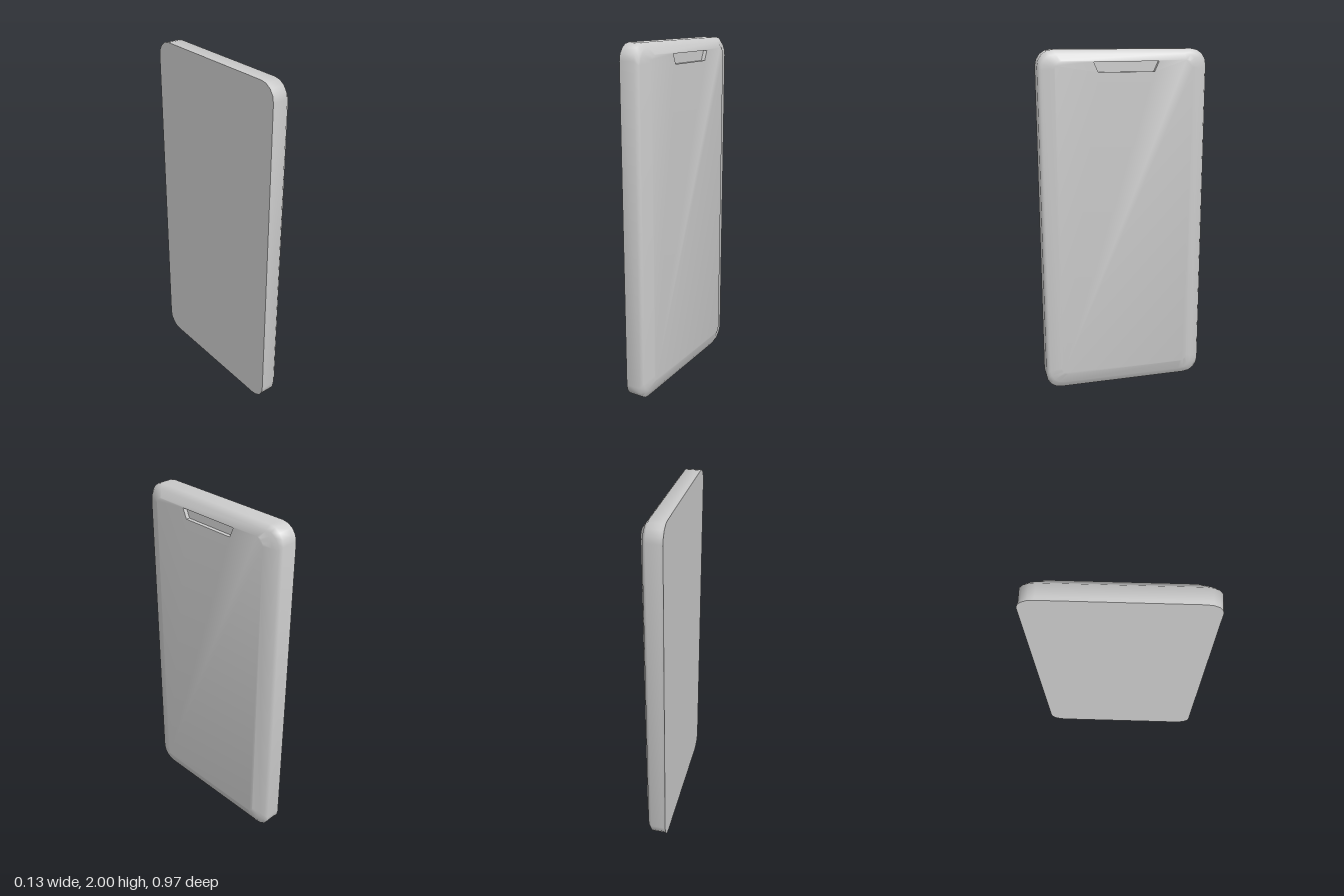
import * as THREE from 'three';
import { mergeGeometries, toCreasedNormals } from 'three/addons/utils/BufferGeometryUtils.js';

// Built in a local frame (u = width, v = height, w = thickness), then turned so the back faces +x.

// Rounded rectangle, counter-clockwise
function outline(u0, u1, v0, v1, r, steps = 4) {
  const pts = [];
  const centres = [[u1 - r, v0 + r], [u1 - r, v1 - r], [u0 + r, v1 - r], [u0 + r, v0 + r]];
  centres.forEach(([cu, cv], k) => {
    for (let i = 0; i <= steps; i++) {
      const a = (k - 1 + i / steps) * Math.PI / 2;
      pts.push(new THREE.Vector2(cu + r * Math.cos(a), cv + r * Math.sin(a)));
    }
  });
  return pts;
}

// Skin between successive loops, each { w, pts }
function loft(loops) {
  const n = loops[0].pts.length, pos = [], idx = [];
  loops.forEach(({ w, pts }) => pts.forEach(p => pos.push(p.x, p.y, w)));
  for (let k = 0; k < loops.length - 1; k++) {
    for (let i = 0; i < n; i++) {
      const j = (i + 1) % n, a = k * n + i, b = k * n + j;
      idx.push(a, b, b + n, a, b + n, a + n);
    }
  }
  const g = new THREE.BufferGeometry();
  g.setAttribute('position', new THREE.Float32BufferAttribute(pos, 3));
  g.setIndex(idx);
  return g;
}

// Flat cap, optionally with a hole or facing the other way
function cap(pts, w, hole = null, flip = false) {
  const shape = new THREE.Shape(pts);
  if (hole) shape.holes.push(new THREE.Path(hole));
  const g = new THREE.ShapeGeometry(shape);
  g.deleteAttribute('uv');
  g.deleteAttribute('normal');
  g.translate(0, 0, w);
  if (flip) g.index.array.reverse();
  return g;
}

function finish(name, geometries, crease) {
  const g = toCreasedNormals(mergeGeometries(geometries), crease);
  g.rotateY(Math.PI / 2);
  const mesh = new THREE.Mesh(g, new THREE.MeshStandardMaterial({ color: 0xcccccc }));
  mesh.name = name;
  return mesh;
}

export function createModel() {
  const group = new THREE.Group();
  group.name = 'phone';

  // Thickness, then side, bottom and top limits and the corner radius
  const layers = [
    [-0.068, -0.483, 0.485, 0, 2, 0.09],
    [-0.05, -0.483, 0.48, 0, 2, 0.09],
    [0.02, -0.483, 0.48, 0, 2, 0.09],
    [0.039, -0.47, 0.467, 0.03, 1.977, 0.085],
    [0.042, -0.46, 0.43, 0.038, 1.973, 0.08],
    [0.066, -0.395, 0.39, 0.1, 1.94, 0.04],
  ].map(([w, ...rect]) => ({ w, pts: outline(...rect) }));
  const front = layers[0], back = layers[layers.length - 1];

  // Camera slot opening
  const slot = [[-0.155, 1.878], [0.165, 1.878], [0.19, 1.934], [-0.18, 1.934]]
    .map(p => new THREE.Vector2(...p));

  group.add(finish('body', [loft(layers), cap(back.pts, back.w, slot)], 1.0));
  group.add(finish('screen', [cap(front.pts, front.w, null, true)], 0.5));

  // Recess walls and floor
  const floor = 0.044;
  group.add(finish('cameraSlot', [
    loft([{ w: back.w, pts: slot }, { w: floor, pts: slot }]),
    cap(slot, floor),
  ], 0.5));

  return group;
}
